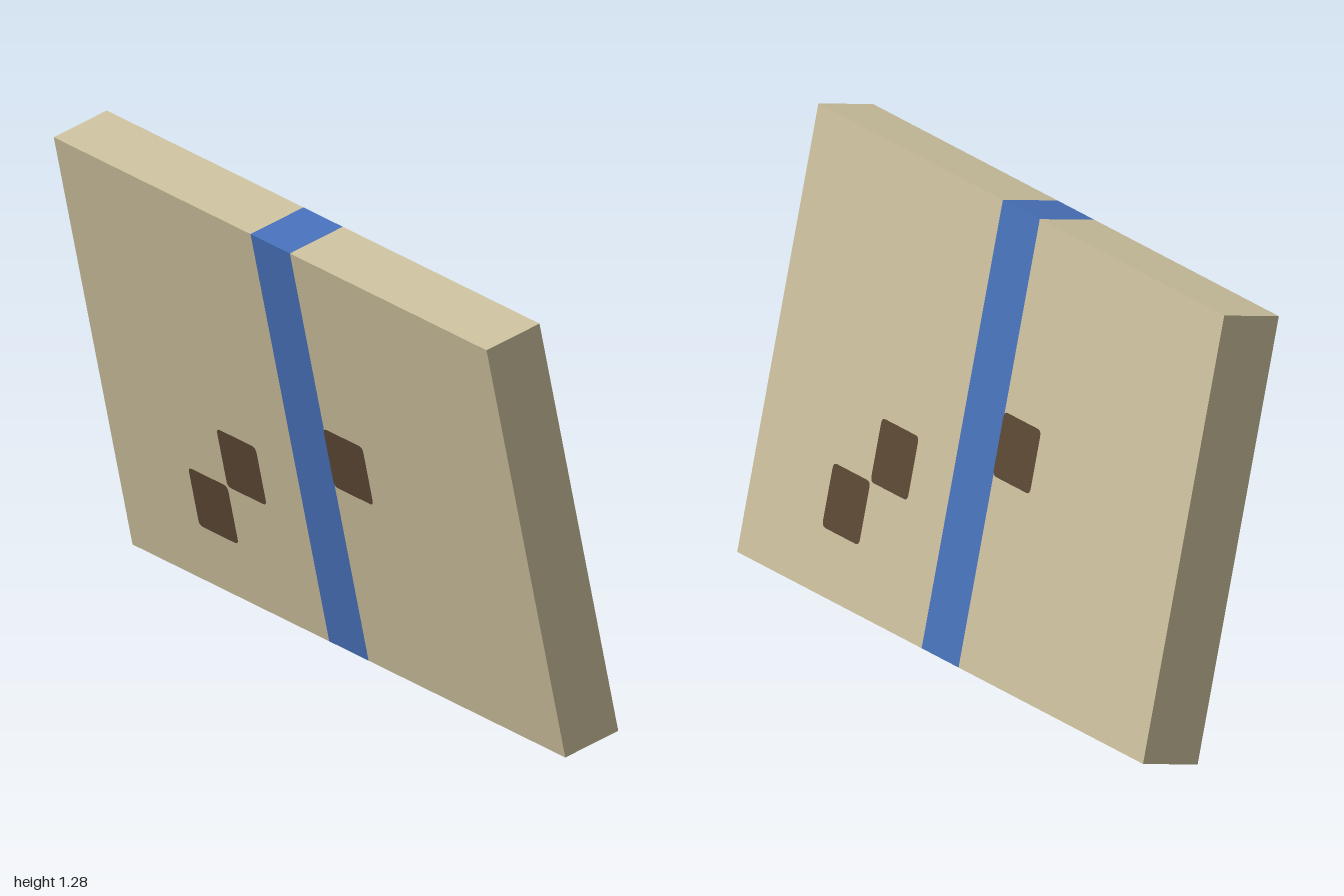
import * as THREE from 'three';

const U = 2 / 11; // module: the slab is 11 x 7 x 1 modules

const tan = new THREE.MeshStandardMaterial({ color: 0xc9be9c });
tan.name = 'tan';
const blue = new THREE.MeshStandardMaterial({ color: 0x4770b8 });
blue.name = 'blue';
const brown = new THREE.MeshStandardMaterial({ color: 0x5a4733 });
brown.name = 'brown';

// Slab with a blue centre column on its top, front and back
function makeSlab() {
  const geo = new THREE.BoxGeometry(11 * U, 7 * U, U, 11, 1, 1);
  const sides = geo.groups.slice();
  geo.clearGroups();
  sides.forEach((side, i) => {
    if (i < 2 || i === 3) {
      geo.addGroup(side.start, side.count, 0);
      return;
    }
    geo.addGroup(side.start, 30, 0);
    geo.addGroup(side.start + 30, 6, 1);
    geo.addGroup(side.start + 36, 30, 0);
  });
  const slab = new THREE.Mesh(geo, [tan, blue]);
  slab.name = 'slab';
  return slab;
}

// Square patch with slightly rounded corners
function patchGeometry() {
  const h = U / 2, r = 0.017;
  const s = new THREE.Shape();
  s.moveTo(-h + r, -h);
  s.lineTo(h - r, -h);
  s.quadraticCurveTo(h, -h, h, -h + r);
  s.lineTo(h, h - r);
  s.quadraticCurveTo(h, h, h - r, h);
  s.lineTo(-h + r, h);
  s.quadraticCurveTo(-h, h, -h, h - r);
  s.lineTo(-h, -h + r);
  s.quadraticCurveTo(-h, -h, -h + r, -h);
  return new THREE.ShapeGeometry(s, 4);
}

export function createModel() {
  const model = new THREE.Group();
  model.name = 'leaningSlab';
  const panel = new THREE.Group();
  panel.name = 'panel';
  panel.add(makeSlab());

  // The same three patches on the front and, turned half round, on the back
  const geo = patchGeometry();
  for (const [name, turn] of [['frontPatches', 0], ['backPatches', Math.PI]]) {
    const face = new THREE.Group();
    face.name = name;
    for (const [col, row] of [[1, 0], [-2, -1], [-3, -2]]) {
      const patch = new THREE.Mesh(geo, brown);
      patch.name = 'patch';
      patch.position.set(col * U, row * U, U / 2 + 0.002);
      face.add(patch);
    }
    face.rotation.y = turn;
    panel.add(face);
  }

  // Lean the top forward and rest the lower edge on the ground
  const lean = THREE.MathUtils.degToRad(12);
  panel.rotation.x = lean;
  panel.position.y = 3.5 * U * Math.cos(lean) + 0.5 * U * Math.sin(lean);
  model.add(panel);
  return model;
}
